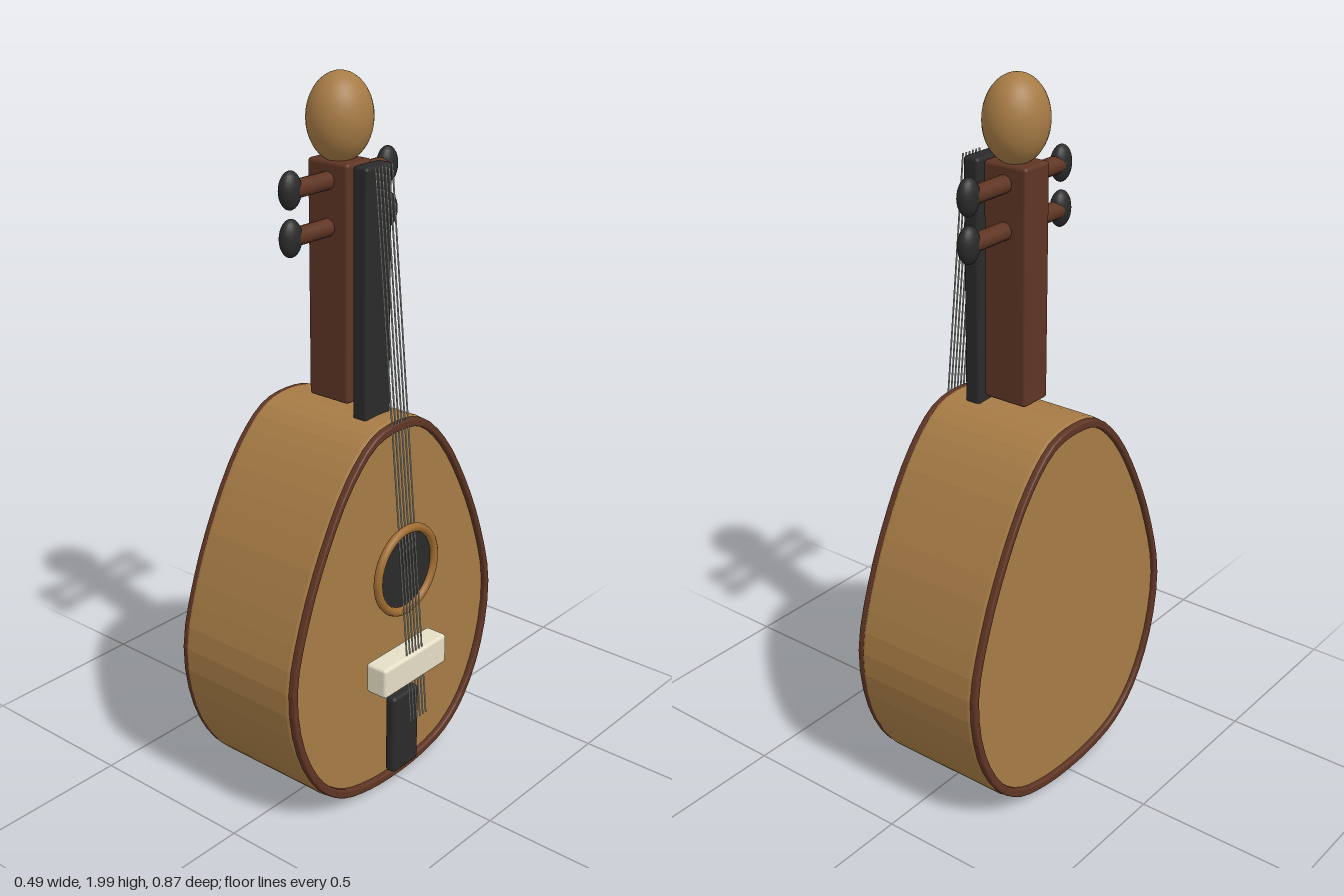
import * as THREE from 'three';
import { RoundedBoxGeometry } from 'three/addons/geometries/RoundedBoxGeometry.js';

const mat = (name, color) => {
  const m = new THREE.MeshStandardMaterial({ color });
  m.name = name;
  return m;
};

// Half outline of the pear-shaped body: half width, height
const HALF = [
  [0, 1.11], [0.1, 1.092], [0.2, 1.005], [0.3, 0.85], [0.385, 0.66], [0.433, 0.47],
  [0.405, 0.27], [0.325, 0.12], [0.23, 0.045], [0.11, 0.013], [0, 0.006],
];

// Closed outline, scaled about the middle of the body
function outline(scale) {
  const mirrored = HALF.slice(1, -1).reverse().map(([w, y]) => [-w, y]);
  const pts = [...HALF, ...mirrored].map(([w, y]) =>
    new THREE.Vector3(w * scale, 0.558 + (y - 0.558) * scale, 0));
  return new THREE.CatmullRomCurve3(pts, true).getPoints(60).slice(0, -1)
    .map((p) => new THREE.Vector2(p.x, p.y));
}

// Extrude a shape along x, from x0 to x1, with rounded edges
function extrudeX(shape, x0, x1, bevel) {
  const g = new THREE.ExtrudeGeometry(shape, {
    depth: x1 - x0 - 2 * bevel, bevelThickness: bevel, bevelSize: bevel,
    bevelOffset: -bevel, bevelSegments: 3, curveSegments: 12,
  });
  return g.translate(0, 0, x0 + bevel).rotateY(Math.PI / 2);
}

export function createModel() {
  const model = new THREE.Group();
  model.name = 'stringInstrument';

  const wood = mat('honey wood', 0xa67b45);
  const darkWood = mat('dark wood', 0x5f3524);
  const ebony = mat('ebony', 0x2a2a2a);
  const ivory = mat('ivory', 0xe6dec6);
  const amber = mat('amber wood', 0xa06c32);
  const steel = mat('steel', 0xb4b4ac);

  const add = (name, geometry, material, x = 0, y = 0, z = 0) => {
    const m = new THREE.Mesh(geometry, material);
    m.name = name;
    m.position.set(x, y, z);
    model.add(m);
    return m;
  };
  // Rounded block given by its x and y ranges and its depth in z
  const block = (name, material, x0, x1, y0, y1, depth, r) =>
    add(name, new RoundedBoxGeometry(x1 - x0, y1 - y0, depth, 2, r), material,
      (x0 + x1) / 2, (y0 + y1) / 2, 0);

  // Body, and a rim round each face
  add('body', extrudeX(new THREE.Shape(outline(1)), -0.232, 0.152, 0.012), wood);
  const ring = new THREE.Shape(outline(0.995));
  ring.holes.push(new THREE.Path(outline(0.95).reverse()));
  add('frontRim', extrudeX(ring, 0.145, 0.167, 0.006), darkWood);
  add('backRim', extrudeX(ring, -0.245, -0.223, 0.006), darkWood);

  // Sound hole and its ring
  add('soundHole', new THREE.CylinderGeometry(0.112, 0.112, 0.01, 40).rotateZ(Math.PI / 2),
    ebony, 0.185, 0.683, 0);
  add('rosette', new THREE.TorusGeometry(0.121, 0.0125, 10, 40).rotateY(Math.PI / 2),
    amber, 0.193, 0.683, 0);

  // Bridge and tailpiece
  block('bridge', ivory, 0.164, 0.234, 0.35, 0.44, 0.272, 0.01);
  block('tailpiece', ebony, 0.167, 0.202, 0.055, 0.3, 0.112, 0.012);

  // Neck, fingerboard and head
  block('neck', darkWood, -0.11, 0.026, 1.135, 1.78, 0.1, 0.01);
  block('fingerboard', ebony, 0.042, 0.091, 1.1, 1.78, 0.104, 0.01);
  add('head', new THREE.SphereGeometry(1, 32, 20).scale(0.084, 0.116, 0.092),
    wood, -0.041, 1.884, 0);

  // Tuning pegs with oval knobs on both sides
  const shaft = new THREE.CylinderGeometry(0.024, 0.024, 0.17, 14).rotateX(Math.PI / 2);
  const knob = new THREE.SphereGeometry(1, 20, 14).scale(0.025, 0.05, 0.035);
  for (const y of [1.73, 1.608]) {
    for (const side of [1, -1]) {
      add('pegShaft', shaft, darkWood, -0.041, y, side * 0.105);
      add('pegKnob', knob, ebony, -0.041, y, side * 0.19);
    }
  }

  // Six strings sloping from the head down to the tailpiece
  const top = new THREE.Vector3(0.102, 1.78, 0);
  const end = new THREE.Vector3(0.242, 0.235, 0);
  const slope = top.clone().sub(end);
  const string = new THREE.CylinderGeometry(0.0023, 0.0023, slope.length(), 6);
  for (let i = 0; i < 6; i++) {
    const s = add('string', string, steel, (top.x + end.x) / 2, (top.y + end.y) / 2,
      -0.035 + i * 0.0133);
    s.quaternion.setFromUnitVectors(new THREE.Vector3(0, 1, 0), slope.clone().normalize());
  }

  return model;
}
